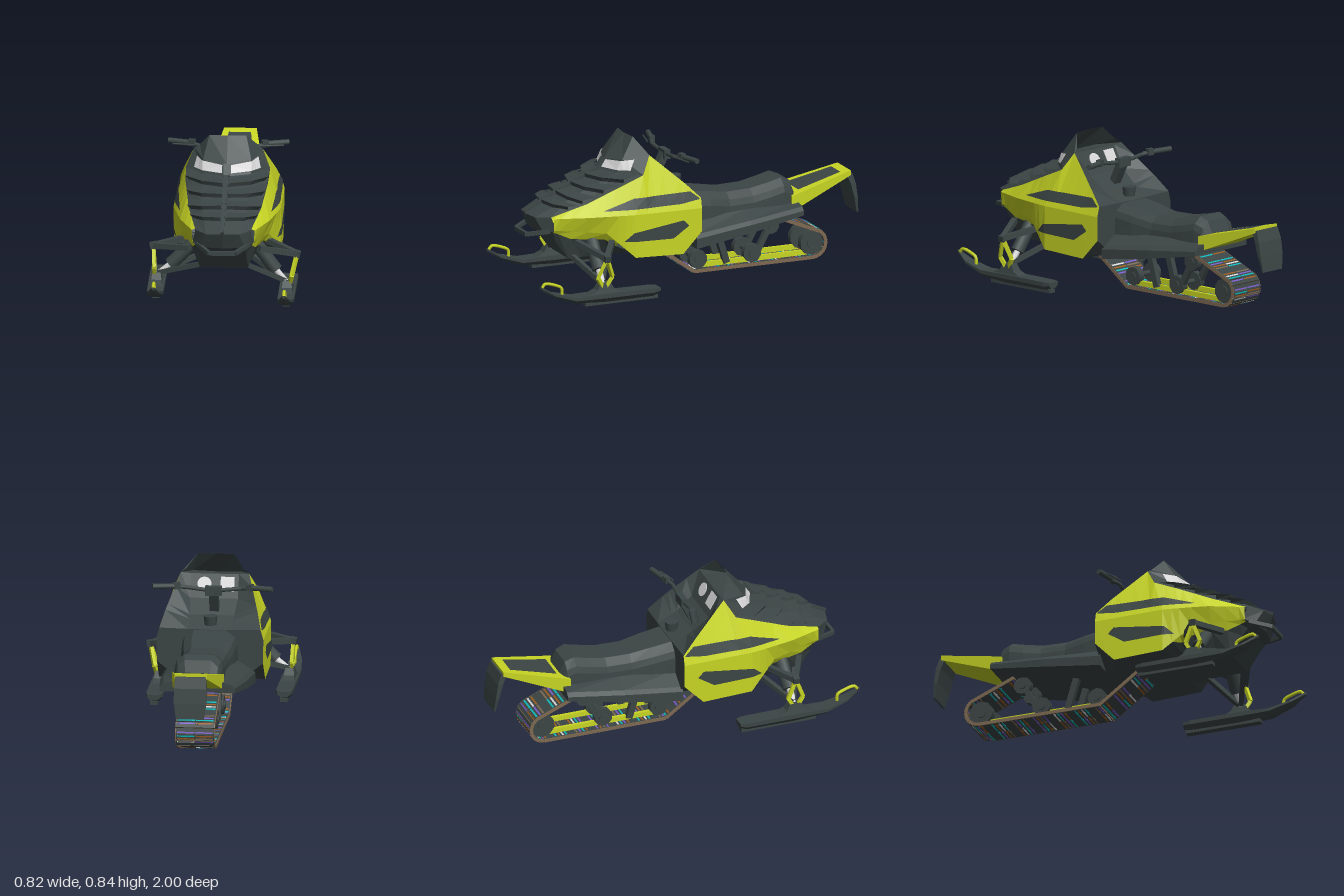
import * as THREE from 'three';

const mat = (name, color) => new THREE.MeshStandardMaterial({ name, color, side: THREE.DoubleSide });
const lerp = (a, b, t) => a + (b - a) * t;
const mix = (p, q, t) => p.map((v, i) => lerp(v, q[i], t));

export function createModel() {
  const root = new THREE.Group();
  root.name = 'snowmobile';
  const dark = mat('charcoal', 0x3c4545), yellow = mat('limeYellow', 0xc8d624);
  const white = mat('lampWhite', 0xd8d8d8), brown = mat('trackBrown', 0x7d6850);
  const orange = mat('lugOrange', 0x9a5c20), purple = mat('lugPurple', 0x7a5cc8), cyan = mat('lugCyan', 0x10b8b8);

  const add = (name, geo, m, parent = root) => {
    const mesh = new THREE.Mesh(geo, m);
    mesh.name = name;
    parent.add(mesh);
    return mesh;
  };
  // Faceted skin over rows of points
  const grid = (name, rows, m, parent) => {
    const v = [];
    for (let i = 0; i + 1 < rows.length; i++)
      for (let j = 0; j + 1 < rows[i].length; j++) {
        const a = rows[i][j], b = rows[i][j + 1], c = rows[i + 1][j + 1], d = rows[i + 1][j];
        v.push(...a, ...d, ...b, ...b, ...d, ...c);
      }
    const g = new THREE.BufferGeometry();
    g.setAttribute('position', new THREE.Float32BufferAttribute(v, 3));
    g.computeVertexNormals();
    return add(name, g, m, parent);
  };
  // Half row, centre first, mirrored to a full row
  const full = (h) => [...h.slice(1).reverse().map(([x, y, z]) => [-x, y, z]), ...h];
  // Closed rings with end caps
  const loft = (name, rings, m, parent) => {
    const cap = (r) => {
      const c = [0, 1, 2].map((k) => r.reduce((s, p) => s + p[k], 0) / r.length);
      return [...r, r[0]].map(() => c);
    };
    return grid(name, [cap(rings[0]), ...rings.map((r) => [...r, r[0]]), cap(rings.at(-1))], m, parent);
  };
  // Straight bar between two points in the parent's space: box (w, h) or round (w only)
  const up = new THREE.Vector3(0, 1, 0);
  const beam = (name, a, b, m, w, h, parent) => {
    const A = new THREE.Vector3(...a), B = new THREE.Vector3(...b), len = A.distanceTo(B);
    const geo = h ? new THREE.BoxGeometry(w, h, len) : new THREE.CylinderGeometry(w, w, len, 10).rotateX(Math.PI / 2);
    const mesh = add(name, geo, m, parent);
    mesh.position.copy(A).lerp(B, 0.5);
    mesh.quaternion.setFromRotationMatrix(new THREE.Matrix4().lookAt(B, A, up));
    return mesh;
  };
  // Guide line [z, x, y] sampled at z
  const at = (line, z) => {
    let i = 0;
    while (i < line.length - 2 && z < line[i + 1][0]) i++;
    const t = THREE.MathUtils.clamp((z - line[i][0]) / (line[i + 1][0] - line[i][0]), 0, 1);
    return [lerp(line[i][1], line[i + 1][1], t), lerp(line[i][2], line[i + 1][2], t), z];
  };
  const zs = [0.84, 0.81, 0.74, 0.66, 0.56, 0.5, 0.46, 0.41, 0.34, 0.285, 0.22, 0.13, 0.1, 0.02];

  // Fairing guide lines: top edge, crease, lower edge, belly edge, console
  const B = [[0.85, 0.15, 0.46], [0.66, 0.195, 0.525], [0.46, 0.222, 0.61], [0.34, 0.228, 0.66], [0.285, 0.185, 0.755], [0.1, 0.25, 0.59], [0.02, 0.275, 0.51]];
  const C = [[0.84, 0.17, 0.455], [0.65, 0.245, 0.46], [0.42, 0.29, 0.46], [0.02, 0.29, 0.455]];
  const D = [[0.81, 0.165, 0.385], [0.56, 0.235, 0.36], [0.41, 0.288, 0.22], [0.13, 0.288, 0.21], [0.02, 0.288, 0.325]];
  const E = [[0.84, 0.12, 0.35], [0.74, 0.13, 0.215], [0.02, 0.15, 0.215]];
  const K = [[0.285, 0.13, 0.75], [0.22, 0.13, 0.63], [0.13, 0.12, 0.56], [0.02, 0.12, 0.505]];
  const centre = (p) => [0, p[1], p[2]];
  const lip = (z) => mix(at(D, z), at(E, z), 0.28);

  for (const s of [1, -1]) {
    const flip = (p) => [p[0] * s, p[1], p[2]];
    grid('sideFairing', zs.map((z) => [at(B, z), at(C, z), at(D, z)].map(flip)), yellow);
    grid('fairingLip', zs.filter((z) => z >= 0.5).map((z) => [at(D, z), lip(z)].map(flip)), yellow);
    // Dark inlays following the fairing surface
    const inlay = (name, top, bottom, hi, lo) => {
      const z0 = top[0][0], z1 = top.at(-1)[0], rows = [];
      const steps = [...new Set([z0, ...zs.filter((z) => z < z0 && z > z1), ...top.map((p) => p[0]), ...bottom.map((p) => p[0]), z1])].sort((a, b) => b - a);
      for (const z of steps) {
        const h = at(hi, z), l = at(lo, z);
        rows.push([top, bottom].map((line) => {
          const y = at(line, z)[1];
          return flip([lerp(l[0], h[0], (y - l[1]) / (h[1] - l[1])) + 0.005, y, z]);
        }));
      }
      grid(name, rows, dark);
    };
    inlay('upperInlay', [[0.58, 0, 0.49], [0.41, 0, 0.545], [0.08, 0, 0.55], [0.03, 0, 0.51]],
      [[0.58, 0, 0.488], [0.14, 0, 0.49], [0.03, 0, 0.505]], B, C);
    inlay('lowerInlay', [[0.47, 0, 0.315], [0.42, 0, 0.36], [0.13, 0, 0.4], [0.1, 0, 0.37]],
      [[0.47, 0, 0.312], [0.19, 0, 0.305], [0.1, 0, 0.365]], C, D);
  }
  grid('bellyPan', zs.map((z) => full([centre(at(E, z)), at(E, z), z >= 0.5 ? lip(z) : at(D, z)])), dark);
  grid('console', zs.filter((z) => z <= 0.285).map((z) => full([centre(at(K, z)), at(K, z), at(B, z)])), dark);
  const rear = [B, C, D, E].map((l) => at(l, 0.02));
  grid('rearBulkhead', [full([[0, 0.505, 0.02], ...rear]), full([[0, 0.3, 0.02], ...rear.map(() => [0, 0.3, 0.02])])], dark);

  // Hood, nose and windscreen
  const hood = [
    [[0, 0.46, 0.94], [0.09, 0.455, 0.92], [0.15, 0.46, 0.85]],
    [[0, 0.565, 0.73], [0.12, 0.55, 0.72], [0.195, 0.525, 0.66]],
    [[0, 0.66, 0.51], [0.13, 0.66, 0.455], [0.228, 0.66, 0.34]],
    [[0, 0.715, 0.47], [0.13, 0.732, 0.42], [0.185, 0.755, 0.285]]];
  grid('hood', hood.map(full), dark);
  grid('nose', [hood[0], [[0, 0.37, 0.9], [0.12, 0.37, 0.88], [0.165, 0.385, 0.82]],
    [[0, 0.35, 0.84], [0.12, 0.35, 0.84], [0.165, 0.385, 0.84]]].map(full), dark);
  grid('dashTop', [hood[3], [[0, 0.75, 0.285], [0.13, 0.75, 0.285], [0.185, 0.755, 0.285]]].map(full), dark);
  grid('windscreen', [hood[3], [[0, 0.845, 0.355], [0.1, 0.845, 0.345], [0.155, 0.775, 0.295]]].map(full), dark);
  // Point on the hood: u across (0..2), v along (0..3), raised by d
  const onHood = (u, v, d, s) => {
    const i = Math.min(2, Math.floor(v)), j = Math.min(1, Math.floor(u));
    const p = mix(mix(hood[i][j], hood[i][j + 1], u - j), mix(hood[i + 1][j], hood[i + 1][j + 1], u - j), v - i);
    return [p[0] * s + d * 0.5 * u * s, p[1] + d, p[2] + d * 0.7];
  };
  for (const s of [1, -1]) {
    grid('headlight', [0.18, 1, 1.25, 1.5].map((u) =>
      [2.15, 2.82].map((v) => onHood(u, v, 0.006, s))), white);
    for (const v of [0.45, 0.85, 1.25, 1.62])
      grid('hoodSlat', [[0, 0], [0.03, 0.02], [0.28, 0.003]].map(([dv, d]) =>
        [0.12, 1, 1.85].map((u) => onHood(u, v + dv + u * 0.05, d, s))), dark);
  }
  for (let i = 0; i < 3; i++) beam('hoodSpine', hood[i][0], hood[i + 1][0], dark, 0.016 + i * 0.008, 0.03);
  const bumper = [[-0.14, 0.38, 0.85], [-0.07, 0.36, 0.96], [0.07, 0.36, 0.96], [0.14, 0.38, 0.85]];
  for (let i = 0; i < 3; i++) beam('frontBumper', bumper[i], bumper[i + 1], dark, 0.018, 0.022);

  // Gauges and fuel cap, the gauges lying on the dash slope
  const disc = add('roundGauge', new THREE.CylinderGeometry(0.038, 0.038, 0.008, 20), white);
  disc.position.set(0.055, 0.7, 0.258);
  const square = add('squareGauge', new THREE.BoxGeometry(0.075, 0.008, 0.08), white);
  square.position.set(-0.07, 0.7, 0.258);
  disc.rotation.x = square.rotation.x = -Math.atan2(0.12, 0.065);
  add('fuelCap', new THREE.CylinderGeometry(0.038, 0.032, 0.05, 12), dark).position.set(0, 0.55, 0.055);

  // Handlebar
  const bars = new THREE.Group();
  bars.name = 'handlebar';
  bars.position.x = -0.01;
  root.add(bars);
  beam('steeringPost', [0, 0.58, 0.17], [0, 0.7, 0.11], dark, 0.05, 0.04, bars);
  beam('barClamp', [-0.045, 0.7, 0.11], [0.045, 0.7, 0.11], dark, 0.035, 0.05, bars);
  for (const s of [1, -1]) {
    beam('bar', [0, 0.7, 0.11], [s * 0.15, 0.715, 0.115], dark, 0.011, 0, bars);
    beam('bar', [s * 0.15, 0.715, 0.115], [s * 0.22, 0.726, 0.09], dark, 0.011, 0, bars);
    beam('grip', [s * 0.21, 0.726, 0.09], [s * 0.325, 0.728, 0.06], dark, 0.015, 0, bars);
    beam('controlBlock', [s * 0.18, 0.727, 0.1], [s * 0.215, 0.727, 0.09], dark, 0.03, 0.035, bars);
    beam('lever', [s * 0.18, 0.722, 0.13], [s * 0.3, 0.72, 0.1], dark, 0.005, 0, bars);
  }

  // Tunnel with running boards, then the seat
  const ring = (half) => [...half, ...half.slice().reverse().map(([x, y, z]) => [-x, y, z])];
  loft('tunnel', [[0.03, 0.245, 0.215, 0.27, 0.35], [-0.3, 0.235, 0.265, 0.31, 0.37], [-0.62, 0.205, 0.32, 0.345, 0.38]]
    .map(([z, w, lo, mid, hi]) => ring([[w * 0.55, hi, z], [w - 0.02, mid + 0.02, z], [w, mid, z], [w, lo, z]])), dark);
  loft('seat', [[0.04, 0.505, 0.15], [-0.1, 0.485, 0.142], [-0.22, 0.466, 0.125], [-0.36, 0.47, 0.125], [-0.46, 0.49, 0.13], [-0.54, 0.51, 0.13], [-0.59, 0.49, 0.12], [-0.62, 0.42, 0.11]]
    .map(([z, y, w]) => ring([[w * 0.6, y, z], [w * 0.92, y - 0.035, z], [w, y - 0.07, z], [w * 1.03, 0.33, z]])), dark);

  // Tail and snow flap
  loft('tail', [ring([[0.14, 0.415, -0.58], [0.14, 0.328, -0.58]]), ring([[0.088, 0.505, -0.95], [0.088, 0.478, -0.95]])], yellow);
  grid('tailPanel', [[[-0.085, 0.433, -0.64], [0.085, 0.433, -0.64]], [[-0.06, 0.496, -0.9], [0.06, 0.496, -0.9]]], dark);
  loft('snowFlap', [[0.49, -0.925, -0.96, 0.083], [0.43, -0.95, -0.98, 0.088], [0.35, -0.972, -0.992, 0.088], [0.265, -0.99, -1, 0.075]]
    .map(([y, a, b, w]) => [[-w, y, a], [w, y, a], [w, y, b], [-w, y, b]]), dark);

  // Track: brown belt edge, dark faces, bands of thin coloured lug strips
  const path = [[0.21, 0.215], [-0.02, 0.047], [-0.72, 0.047]];
  for (let i = 1; i <= 6; i++) {
    const a = -Math.PI / 2 - i * Math.PI / 7.6;
    path.push([-0.72 + 0.078 * Math.cos(a), 0.125 + 0.078 * Math.sin(a)]);
  }
  path.push([-0.52, 0.29]);
  const lugMats = [orange, cyan, purple, brown, orange, purple, cyan, white];
  let count = 0;
  path.forEach((p, i) => {
    if (!i) return;
    const a = [-0.007, path[i - 1][1], path[i - 1][0]], b = [-0.007, p[1], p[0]];
    beam('beltEdge', a, b, brown, 0.214, 0.019);
    beam('beltFace', a, b, dark, 0.206, 0.0205);
    const n = Math.max(1, Math.round(Math.hypot(p[0] - path[i - 1][0], p[1] - path[i - 1][1]) / 0.02));
    for (let k = 0; k < n; k++, count++) {
      if (count % 6 > 3) continue;
      for (const s of [1, -1]) {
        const lug = beam('lugStrip', mix(a, b, (k + 0.25) / n), mix(a, b, (k + 0.75) / n), lugMats[(count + (s > 0 ? 1 : 4)) % 8], 0.094, 0.022);
        lug.position.x += s * 0.05;
      }
    }
  });

  // Rear suspension
  for (const s of [1, -1]) {
    beam('slideRail', [s * 0.06, 0.07, -0.04], [s * 0.06, 0.07, -0.7], yellow, 0.018, 0.03);
    for (const [z, y, r] of [[-0.05, 0.108, 0.052], [-0.37, 0.108, 0.052], [-0.48, 0.25, 0.05], [-0.72, 0.125, 0.068]]) {
      beam('idlerWheel', [s * 0.05, y, z], [s * 0.086, y, z], dark, r);
      beam('wheelHub', [s * 0.086, y, z], [s * 0.093, y, z], dark, r * 0.45);
    }
    beam('frontSwingArm', [s * 0.07, 0.24, -0.17], [s * 0.07, 0.07, -0.22], dark, 0.03, 0.035);
    beam('rearSwingArm', [s * 0.07, 0.29, -0.5], [s * 0.07, 0.09, -0.39], dark, 0.03, 0.03);
  }
  for (const [z, y] of [[-0.05, 0.108], [-0.37, 0.108], [-0.48, 0.25], [-0.72, 0.125]])
    beam('axle', [-0.08, y, z], [0.08, y, z], dark, 0.014);

  // Front suspension and skis, the two sides riding at different heights
  for (const [s, skiX, lift] of [[1, 0.335, 0], [-1, 0.37, 0.036]]) {
    const side = new THREE.Group();
    side.name = s > 0 ? 'leftSuspension' : 'rightSuspension';
    root.add(side);
    const P = (x, y, z) => [s * x, y, z];
    const knee = P(0.388, 0.265 + lift, 0.625), foot = P(skiX + 0.01, 0.08 + lift, 0.625);
    for (const z of [0.5, 0.72]) {
      beam('upperArm', P(0.19, 0.32, z), knee, dark, 0.03, 0.03, side);
      beam('lowerArm', P(0.12, 0.23, z), P(skiX - 0.01, 0.115 + lift, 0.625), dark, 0.026, 0.026, side);
    }
    beam('armJoint', P(0.37, 0.27 + lift, 0.625), P(0.405, 0.262 + lift, 0.625), dark, 0.035, 0.035, side);
    const mid = mix(P(0.16, 0.33, 0.62), foot, 0.62);
    beam('shockBody', P(0.16, 0.33, 0.62), mid, dark, 0.037, 0, side);
    beam('shockRod', mid, P(skiX, 0.1 + lift, 0.625), white, 0.017, 0, side);
    for (const dz of [0.042, -0.042]) {
      const bend = mix(knee, foot, 0.6);
      bend[2] += dz;
      beam('spindle', knee, bend, yellow, 0.018, 0.02, side);
      beam('spindle', bend, foot, yellow, 0.018, 0.02, side);
    }
    const ski = new THREE.Group();
    ski.name = 'ski';
    ski.position.set(s * skiX, lift, 0);
    side.add(ski);
    loft('skiBlade', [[0.3, 0.036, 0.03, 0.062], [0.34, 0.045, 0.018, 0.064], [0.62, 0.045, 0.016, 0.066], [0.8, 0.044, 0.026, 0.062], [0.92, 0.032, 0.07, 0.092], [1, 0.008, 0.122, 0.138]]
      .map(([z, w, lo, hi]) => [[-w, hi, z], [w, hi, z], [w, (lo + hi) / 2, z], [w * 0.5, lo, z], [-w * 0.5, lo, z], [-w, (lo + hi) / 2, z]]), dark, ski);
    beam('keel', [0, 0.012, 0.31], [0, 0.012, 0.74], dark, 0.04, 0.02, ski);
    loft('skiSaddle', [[0.05, 0.035, 0.12], [0.085, 0.028, 0.05], [0.12, 0.022, 0.03]]
      .map(([y, w, l]) => [[-w, y, 0.62 - l], [w, y, 0.62 - l], [w, y, 0.62 + l], [-w, y, 0.62 + l]]), dark, ski);
    const loop = new THREE.CatmullRomCurve3([[0.87, 0.06], [0.872, 0.115], [0.9, 0.132], [0.97, 0.148], [0.985, 0.13]].map(([z, y]) => new THREE.Vector3(0, y, z)));
    add('skiLoop', new THREE.TubeGeometry(loop, 16, 0.009, 6), yellow, ski);
  }
  return root;
}
